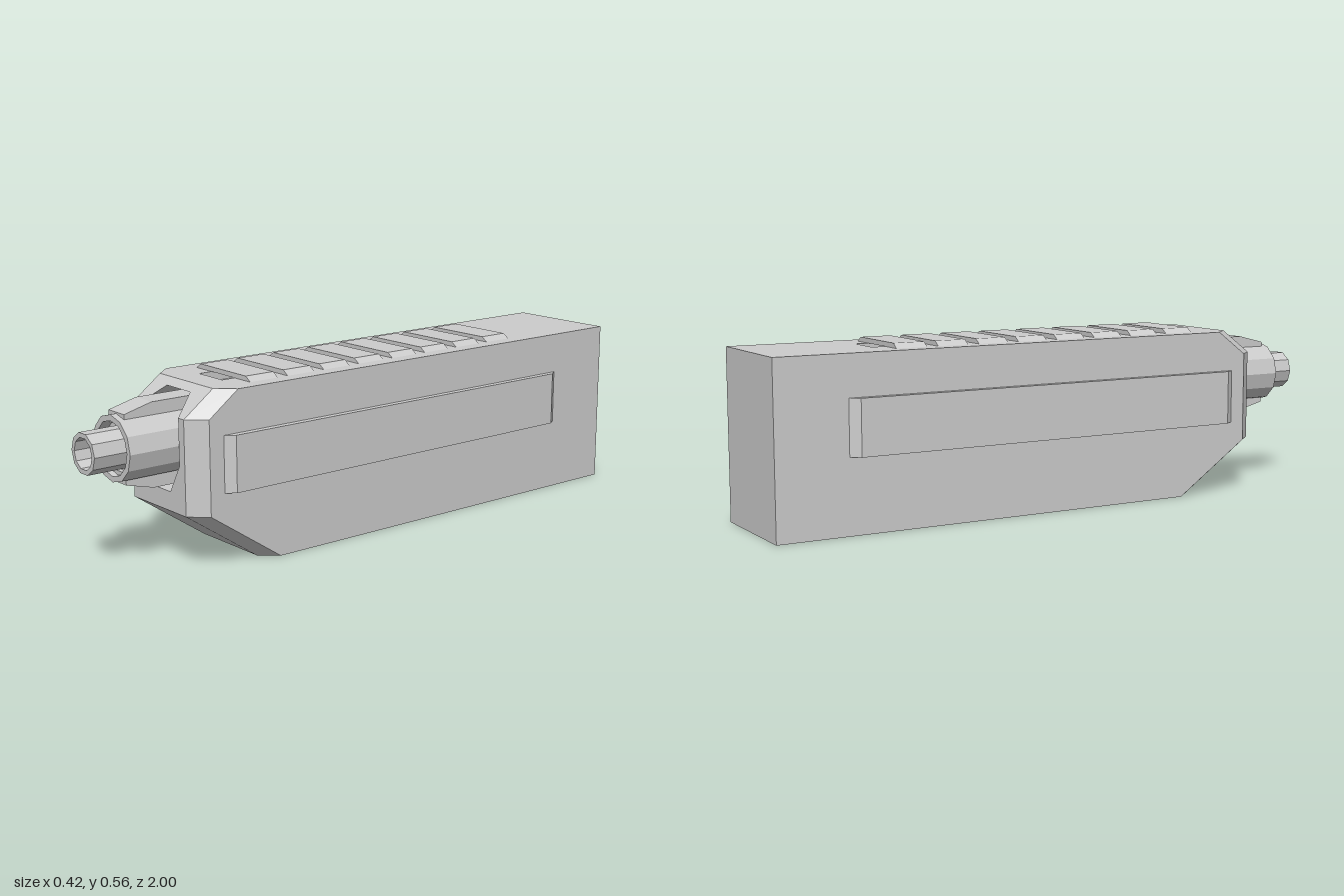
import * as THREE from 'three';

const grey = new THREE.MeshStandardMaterial({ color: 0xcccccc, flatShading: true });
const shell = new THREE.MeshStandardMaterial({ color: 0xcccccc, flatShading: true, side: THREE.DoubleSide });

const TOP = 0.545, AXIS = 0.38, SHOULDER = 0.467;
// z of the nose above the shoulder line
const noseZ = y => 0.745 - Math.max(0, y - SHOULDER) * 0.105 / (TOP - SHOULDER);

function add(parent, name, geometry, material = grey) {
  const mesh = new THREE.Mesh(geometry, material);
  mesh.name = name;
  parent.add(mesh);
  return mesh;
}

// Convex polygons to one flat-shaded geometry
function polygons(list) {
  const pos = [];
  for (const p of list)
    for (let i = 1; i < p.length - 1; i++) pos.push(...p[0], ...p[i], ...p[i + 1]);
  const g = new THREE.BufferGeometry();
  g.setAttribute('position', new THREE.Float32BufferAttribute(pos, 3));
  g.computeVertexNormals();
  return g;
}

const shapeOf = pts => new THREE.Shape(pts.map(([x, y]) => new THREE.Vector2(x, y)));

// Apply a rule to each vertex
function reshape(g, rule) {
  const p = g.attributes.position, v = new THREE.Vector3();
  for (let i = 0; i < p.count; i++) {
    rule(v.fromBufferAttribute(p, i));
    p.setXYZ(i, v.x, v.y, v.z);
  }
  g.computeVertexNormals();
  return g;
}

function buildBody(root) {
  const body = new THREE.Group();
  body.name = 'body';
  root.add(body);

  // Side walls and chamfers from stacked plan outlines; front centre left open
  const rings = [[0, 0.49], [0.173, 0.745], [SHOULDER, 0.745], [TOP, 0.64]].map(([y, z]) =>
    [[-0.19, -1], [-0.19, z - 0.055], [-0.14, z], [0.14, z], [0.19, z - 0.055], [0.19, -1]]
      .map(([x, pz]) => [x, y, pz]));
  const faces = [[...rings[0]].reverse()];
  for (let k = 0; k < 3; k++) {
    const a = rings[k], b = rings[k + 1];
    for (let i = 0; i < 6; i++) {
      if (i === 2 && k > 0) continue;
      const j = (i + 1) % 6;
      faces.push([a[i], a[j], b[j], b[i]]);
    }
  }
  add(body, 'housing', polygons(faces), shell);

  // Nose faces around the octagonal opening
  const lower = shapeOf([[-0.14, 0.173], [0.14, 0.173], [0.14, SHOULDER], [0.112, SHOULDER], [0.112, 0.322],
    [0.06, 0.233], [-0.06, 0.233], [-0.112, 0.322], [-0.112, SHOULDER], [-0.14, SHOULDER]]);
  const upper = shapeOf([[0.14, SHOULDER], [0.14, TOP], [-0.14, TOP], [-0.14, SHOULDER],
    [-0.112, SHOULDER], [-0.062, 0.525], [0.062, 0.525], [0.112, SHOULDER]]);
  for (const [name, s] of [['noseFront', lower], ['noseSlope', upper]])
    add(body, name, reshape(new THREE.ShapeGeometry(s), v => { v.z = noseZ(v.y); }), shell);

  // Recess behind the opening
  const hole = [[0.062, 0.525], [0.112, SHOULDER], [0.112, 0.322], [0.06, 0.233],
    [-0.06, 0.233], [-0.112, 0.322], [-0.112, SHOULDER], [-0.062, 0.525]];
  const floorZ = 0.6;
  const walls = hole.map(([x, y], i) => {
    const [u, w] = hole[(i + 1) % 8];
    return [[x, y, noseZ(y)], [x, y, floorZ], [u, w, floorZ], [u, w, noseZ(w)]];
  });
  walls.push([...hole].reverse().map(([x, y]) => [x, y, floorZ]));
  add(body, 'noseRecess', polygons(walls), shell);

  // Top face with a long shallow channel
  const top = shapeOf(rings[3].map(([x, , z]) => [x, -z]));
  const rect = (w, z0, z1, y) => [[-w, y, z0], [-w, y, z1], [w, y, z1], [w, y, z0]];
  const rim = rect(0.06, -0.63, 0.55, TOP), bed = rect(0.06, -0.615, 0.53, TOP - 0.03);
  top.holes.push(new THREE.Path(rim.map(([x, , z]) => new THREE.Vector2(x, -z))));
  add(body, 'topFace', new THREE.ShapeGeometry(top).rotateX(-Math.PI / 2).translate(0, TOP, 0), shell);
  const channel = [bed];
  for (let i = 0; i < 4; i++) {
    const j = (i + 1) % 4;
    channel.push([rim[i], rim[j], bed[j], bed[i]]);
  }
  add(body, 'topChannel', polygons(channel), shell);
}

function buildBarrel(root) {
  const barrel = new THREE.Group();
  barrel.name = 'barrel';
  barrel.position.y = AXIS;
  root.add(barrel);
  const turned = (pts, sides, start) =>
    new THREE.LatheGeometry(pts.map(p => new THREE.Vector2(...p)), sides, start).rotateX(Math.PI / 2);

  // Outer sleeve, then the thinner open muzzle
  add(barrel, 'sleeve', turned([[0.102, 0.6], [0.102, 0.905], [0.084, 0.905], [0.084, 0.87], [0, 0.87]], 12, 0));
  add(barrel, 'muzzle', turned([[0.064, 0.86], [0.064, 1], [0.049, 1], [0.049, 0.88], [0, 0.88]], 10, Math.PI / 10));

  // Fins above and below the sleeve
  const profile = shapeOf([[0.6, 0.07], [0.885, 0.07], [0.885, 0.106], [0.79, 0.13], [0.6, 0.13]]);
  const fin = new THREE.ExtrudeGeometry(profile, { depth: 0.084, bevelEnabled: false })
    .rotateY(-Math.PI / 2).translate(0.042, 0, 0);
  add(barrel, 'upperFin', fin);
  add(barrel, 'lowerFin', fin).rotation.z = Math.PI;
}

export function createModel() {
  const root = new THREE.Group();
  root.name = 'device';
  buildBody(root);
  buildBarrel(root);

  // Ribs across the top with sloped ends
  const rib = reshape(new THREE.BoxGeometry(0.28, 0.015, 0.103), v => { if (v.y > 0) v.x *= 0.118 / 0.14; });
  for (let i = 0; i < 8; i++)
    add(root, 'topRib', rib).position.set(0, TOP + 0.0075, 0.453 - i * 0.141);

  // Raised side panels with sloped ends
  const panel = reshape(new THREE.BoxGeometry(0.021, 0.176, 1.405), v => { if (v.x > 0) v.z *= 1.345 / 1.405; });
  for (const side of [1, -1]) {
    const m = add(root, side > 0 ? 'leftPanel' : 'rightPanel', panel);
    m.position.set(side * 0.2005, 0.325, -0.063);
    if (side < 0) m.rotation.y = Math.PI;
  }
  return root;
}
